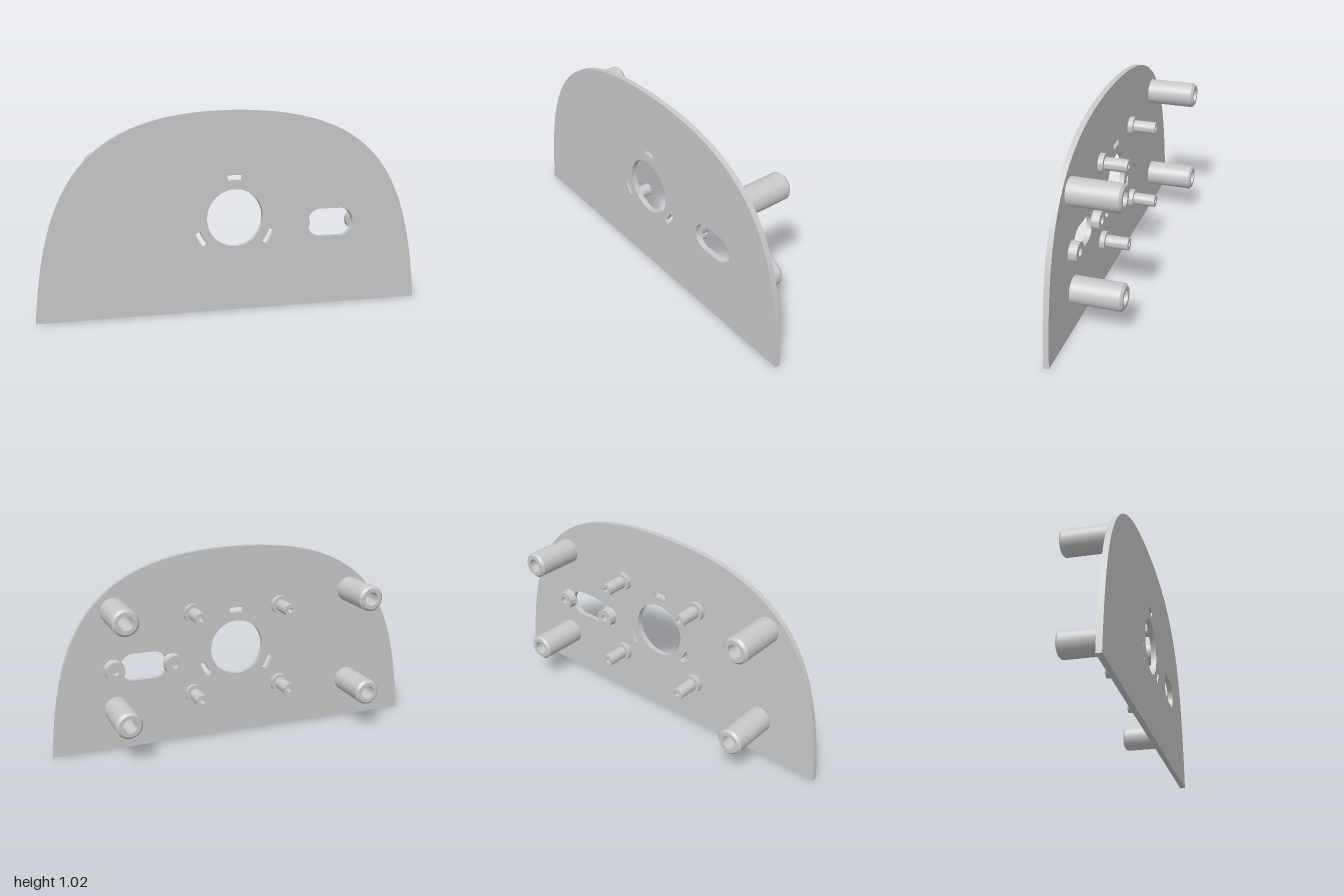
import * as THREE from 'three';
import { toCreasedNormals } from 'three/addons/utils/BufferGeometryUtils.js';

const BACK = 0.115, FRONT = 0.143; // plate faces along z
const CX = 0, CY = 0.476; // centre of the round opening
const TOP = 1.018; // plate height

export function createModel() {
  const model = new THREE.Group();
  const grey = new THREE.MeshStandardMaterial({ color: 0xc8c8c8 });
  grey.name = 'light grey';

  // Domed plate outline
  const outline = new THREE.Shape();
  outline.moveTo(-1, 0);
  outline.lineTo(1, 0);
  outline.bezierCurveTo(0.95, 0.65, 0.79, TOP, 0, TOP);
  outline.bezierCurveTo(-0.79, TOP, -0.95, 0.65, -1, 0);

  // Round central opening
  const round = new THREE.Path();
  round.absarc(CX, CY, 0.146, 0, Math.PI * 2, true);
  outline.holes.push(round);

  // Three curved slots around the opening
  for (const degrees of [90, 210, 330]) {
    const mid = THREE.MathUtils.degToRad(degrees), half = 0.19;
    const slot = new THREE.Path();
    slot.absarc(CX, CY, 0.218, mid - half, mid + half, false);
    slot.absarc(CX, CY, 0.192, mid + half, mid - half, true);
    slot.closePath();
    outline.holes.push(slot);
  }

  // Rounded side window
  const win = new THREE.Path(), r = 0.072;
  win.absarc(0.389 + r, 0.431, r, Math.PI / 2, Math.PI * 1.5, false);
  win.absarc(0.639 - r, 0.431, r, -Math.PI / 2, Math.PI / 2, false);
  win.closePath();
  outline.holes.push(win);

  const plateGeometry = new THREE.ExtrudeGeometry(outline, {
    depth: FRONT - BACK, bevelEnabled: false, curveSegments: 32,
  });
  plateGeometry.translate(0, 0, BACK);
  const plate = new THREE.Mesh(toCreasedNormals(plateGeometry, 0.5), grey);
  plate.name = 'plate';
  model.add(plate);

  // Turned parts: profile is [radius, height behind the plate]
  const turned = (profile) => {
    const points = profile.map(([x, y]) => new THREE.Vector2(x, y));
    const geometry = new THREE.LatheGeometry(points, 40);
    geometry.rotateX(-Math.PI / 2);
    return toCreasedNormals(geometry, 0.5);
  };
  const place = (geometry, name, x, y) => {
    const mesh = new THREE.Mesh(geometry, grey);
    mesh.name = name;
    mesh.position.set(x, y, BACK);
    model.add(mesh);
  };

  const post = turned([
    [0, 0], [0.068, 0], [0.068, 0.246], [0.056, 0.258],
    [0.036, 0.258], [0.036, 0.02], [0, 0.02],
  ]);
  const standoff = turned([
    [0, 0], [0.05, 0], [0.05, 0.027], [0.033, 0.027], [0.033, 0.145],
    [0.014, 0.145], [0.014, 0.02], [0, 0.02],
  ]);
  const boss = turned([
    [0, 0], [0.054, 0], [0.051, 0.003], [0.05, 0.007], [0.05, 0.043],
    [0.02, 0.043], [0.02, 0.004], [0, 0.004],
  ]);

  for (const side of [-1, 1]) {
    for (const y of [0.215, 0.736]) place(post, 'mountingPost', side * 0.66, y);
    for (const y of [0.249, 0.687]) place(standoff, 'steppedStandoff', side * 0.245, y);
    place(boss, 'windowBoss', 0.514 + side * 0.156, 0.43);
  }
  return model;
}
